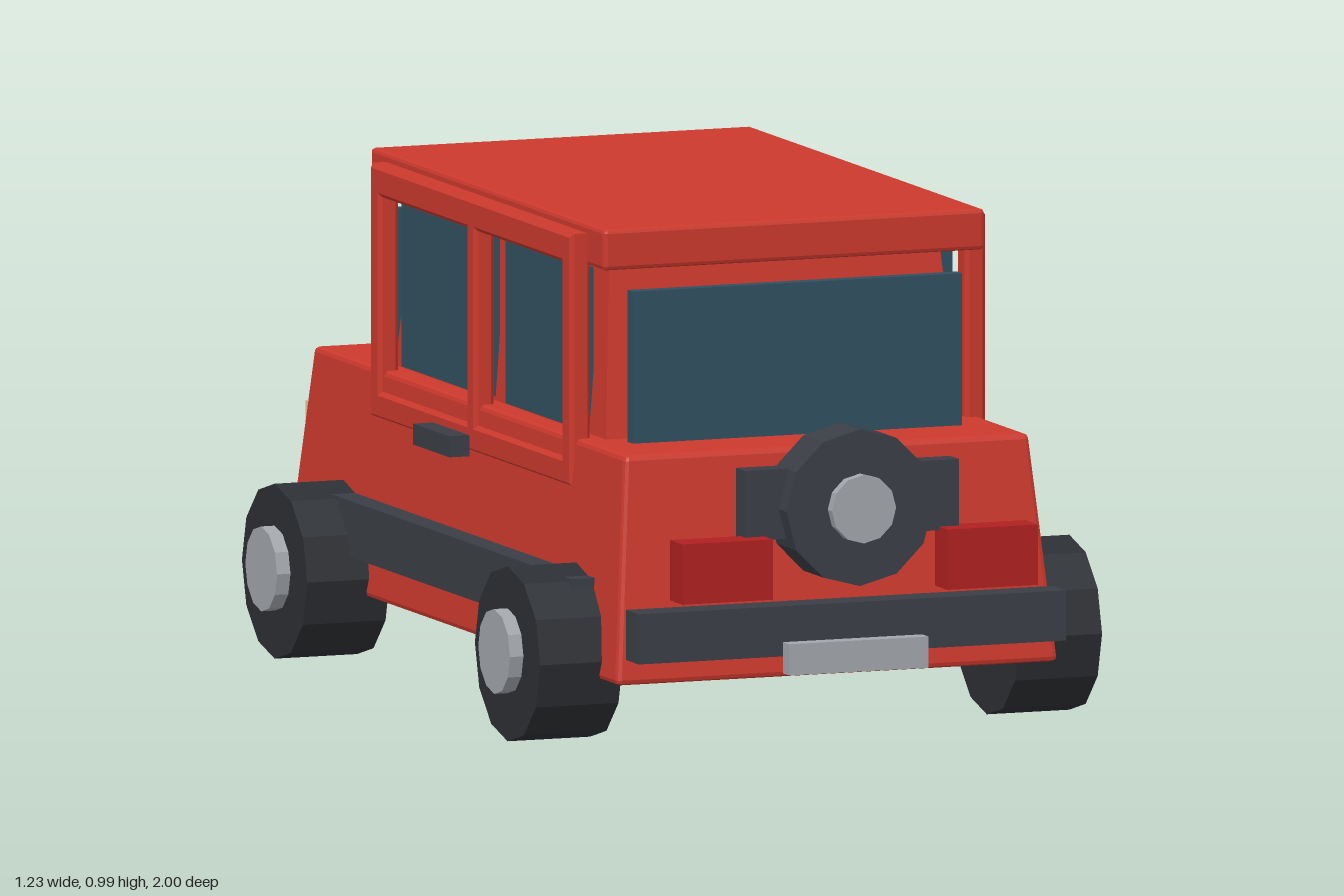
import * as THREE from 'three';
import { RoundedBoxGeometry } from 'three/addons/geometries/RoundedBoxGeometry.js';

const mat = (color) => new THREE.MeshStandardMaterial({ color, flatShading: true });

export function createModel() {
  const car = new THREE.Group();
  car.name = 'offRoadCar';
  const red = mat(0xcc392d), glass = mat(0x305060), dark = mat(0x3a3e45), tyre = mat(0x2c2f34);
  const metal = mat(0xa2a6ac), lamp = mat(0xdcca9f), tail = mat(0xb02020);

  const add = (name, geometry, material) => {
    const mesh = new THREE.Mesh(geometry, material);
    mesh.name = name;
    car.add(mesh);
    return mesh;
  };
  // Boxes are given by their limits on each axis
  const box = (name, material, [x0, x1], [y0, y1], [z0, z1], bevel = 0) => {
    const size = [x1 - x0, y1 - y0, z1 - z0];
    const g = bevel ? new RoundedBoxGeometry(...size, 1, bevel) : new THREE.BoxGeometry(...size);
    const mesh = add(name, g, material);
    mesh.position.set((x0 + x1) / 2, (y0 + y1) / 2, (z0 + z1) / 2);
    return mesh;
  };
  // Narrows a box towards its top
  const taper = (mesh, h, sx, sz) => {
    const p = mesh.geometry.attributes.position;
    for (let i = 0; i < p.count; i++) {
      const t = p.getY(i) / h + 0.5;
      p.setX(i, p.getX(i) * (1 + (sx - 1) * t));
      p.setZ(i, p.getZ(i) * (1 + (sz - 1) * t));
    }
    mesh.geometry.computeVertexNormals();
  };
  const disc = (name, material, r, width, axis, x, y, z) => {
    const g = new THREE.CylinderGeometry(r, r, width, 12);
    if (axis === 'x') g.rotateZ(Math.PI / 2);
    else g.rotateX(Math.PI / 2);
    add(name, g, material).position.set(x, y, z);
  };

  // Body, cabin and roof
  taper(box('body', red, [-0.46, 0.46], [0.135, 0.575], [-0.877, 0.863], 0.01), 0.44, 0.915, 0.935);
  taper(box('cabin', red, [-0.375, 0.375], [0.5, 0.93], [-0.535, 0.59]), 0.43, 0.915, 0.89);
  box('roof', red, [-0.397, 0.397], [0.913, 0.993], [-0.585, 0.636], 0.008);

  // Windscreens
  box('frontWindow', glass, [-0.343, 0.343], [0.575, 0.872], [0.625, 0.652]);
  box('rearWindow', glass, [-0.343, 0.343], [0.575, 0.872], [-0.6, -0.572]);

  // Door panel with two window openings, drawn in z and y
  const rect = (path, z0, z1, y0, y1) => {
    path.moveTo(z0, y0);
    path.lineTo(z1, y0);
    path.lineTo(z1, y1);
    path.lineTo(z0, y1);
    path.closePath();
    return path;
  };
  const bevel = 0.008;
  const panel = rect(new THREE.Shape(), -0.5 + bevel, 0.553 - bevel, 0.48 + bevel, 0.976 - bevel);
  for (const [a, b] of [[-0.45, 0.005], [0.05, 0.503]]) {
    panel.holes.push(rect(new THREE.Path(), a - bevel, b + bevel, 0.535 - bevel, 0.915 + bevel));
  }
  const doorGeometry = new THREE.ExtrudeGeometry(panel, {
    depth: 0.043 - 2 * bevel, bevelEnabled: true, bevelSize: bevel, bevelThickness: bevel, bevelSegments: 1,
  });
  doorGeometry.translate(0, 0, -0.0215 + bevel);
  doorGeometry.rotateY(-Math.PI / 2);

  // Parts repeated on both sides
  for (const [side, s] of [['left', 1], ['right', -1]]) {
    const span = (a, b) => (s > 0 ? [a, b] : [-b, -a]);
    add(side + 'DoorPanel', doorGeometry, red).position.set(s * 0.4115, 0, 0);
    // the extrusion is turned so that its drawn axis runs along +z
    box(side + 'FrontSideWindow', glass, span(0.36, 0.387), [0.583, 0.9], [0.097, 0.49]);
    box(side + 'RearSideWindow', glass, span(0.36, 0.387), [0.583, 0.9], [-0.447, 0.0]);
    box(side + 'DoorHandle', dark, span(0.438, 0.48), [0.474, 0.515], [-0.152, 0.037]);
    box(side + 'SideStep', dark, span(0.4, 0.492), [0.215, 0.325], [-0.715, 0.705]);
    box(side + 'TailLight', tail, span(0.182, 0.37), [0.305, 0.423], [0.915, 0.98]);
    box(side + 'Headlight', lamp, span(0.182, 0.37), [0.315, 0.444], [-0.992, -0.925]);
    for (const [end, z] of [['Front', 0.605], ['Rear', -0.613]]) {
      disc(side + end + 'Tyre', tyre, 0.171, 0.172, 'x', s * 0.499, 0.171, z);
      disc(side + end + 'Hub', metal, 0.083, 0.1, 'x', s * 0.563, 0.177, z);
    }
  }

  // Spare wheel on its bracket
  box('spareBracket', dark, [-0.223, 0.223], [0.416, 0.553], [0.89, 0.937]);
  disc('spareTyre', dark, 0.153, 0.103, 'z', 0, 0.475, 0.927);
  disc('spareHub', metal, 0.067, 0.06, 'z', 0, 0.475, 0.97);

  // Bumpers, plates and grille bar
  box('frontBumper', dark, [-0.445, 0.445], [0.187, 0.285], [0.873, 0.94]);
  box('frontPlate', metal, [-0.145, 0.145], [0.154, 0.215], [0.94, 0.973]);
  box('rearBumper', dark, [-0.445, 0.445], [0.187, 0.287], [-0.95, -0.882]);
  box('grille', dark, [-0.162, 0.162], [0.255, 0.34], [-1, -0.935]);
  box('grilleBar', metal, [-0.285, 0.285], [0.235, 0.295], [-0.963, -0.93]);
  box('rearPlate', metal, [-0.145, 0.145], [0.158, 0.22], [-0.988, -0.952]);
  return car;
}
